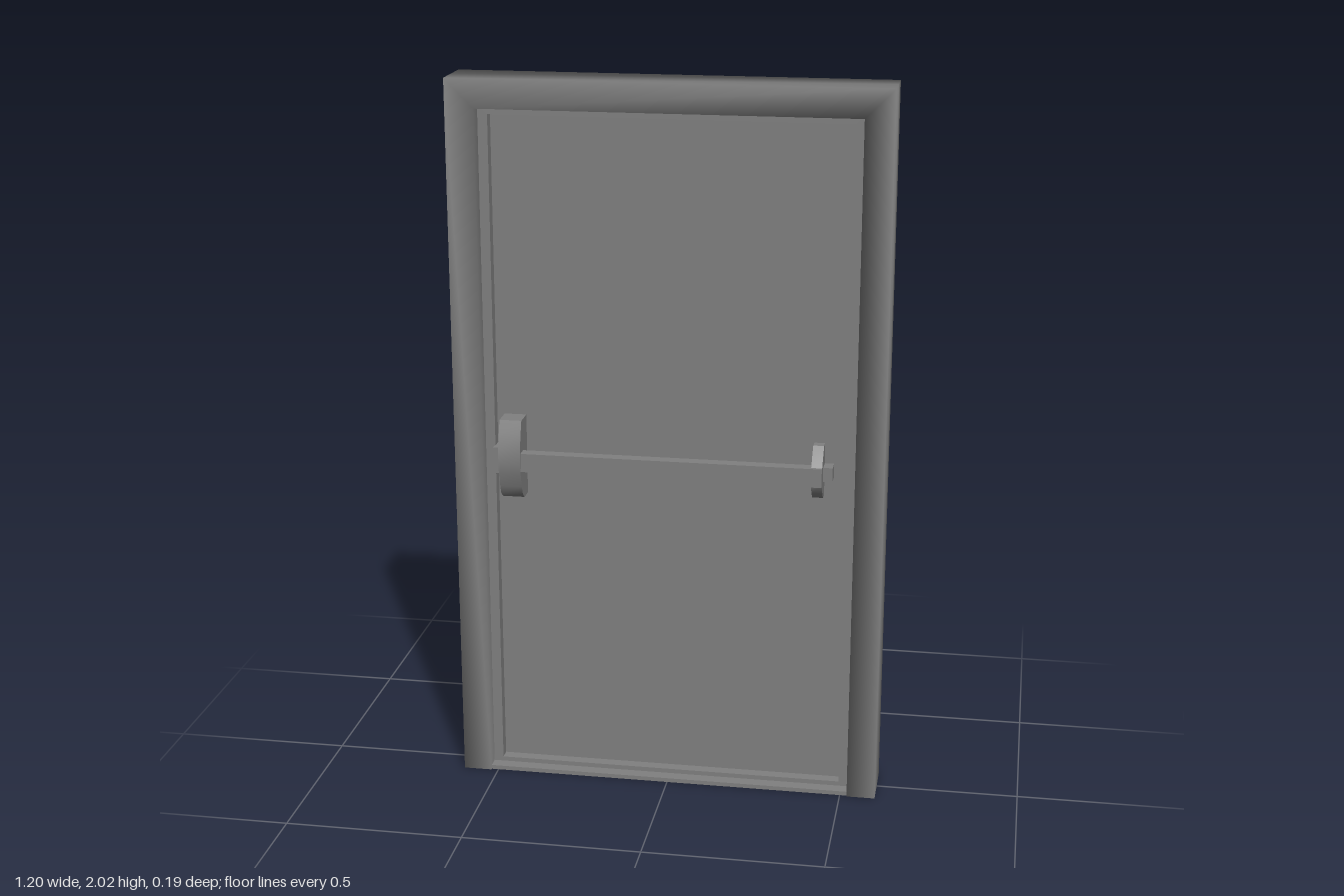
import * as THREE from 'three';
import { toCreasedNormals } from 'three/addons/utils/BufferGeometryUtils.js';

const steel = new THREE.MeshStandardMaterial({ color: 0x808080 });
steel.name = 'grey steel';

function add(parent, name, geometry) {
  const mesh = new THREE.Mesh(geometry, steel);
  mesh.name = name;
  parent.add(mesh);
  return mesh;
}

// Box given by its limits on each axis
function box(parent, name, x0, x1, y0, y1, z0, z1) {
  const mesh = add(parent, name, new THREE.BoxGeometry(x1 - x0, y1 - y0, z1 - z0));
  mesh.position.set((x0 + x1) / 2, (y0 + y1) / 2, (z0 + z1) / 2);
  return mesh;
}

// Sweeps a profile of [outward offset, z] up one jamb, over the head and down the other, with mitred corners
function archSweep(profile, halfWidth, top, bottom) {
  const n = profile.length, positions = [], index = [];
  for (const [side, high] of [[-1, 0], [-1, 1], [1, 1], [1, 0]]) {
    for (const [o, z] of profile) positions.push(side * (halfWidth + o), high ? top + o : bottom, z);
  }
  for (let i = 0; i < 3; i++) {
    for (let j = 0; j < n; j++) {
      const a = i * n + j, b = i * n + (j + 1) % n;
      index.push(a, a + n, b + n, a, b + n, b);
    }
  }
  for (let j = 1; j < n - 1; j++) {
    index.push(0, j, j + 1, 3 * n, 3 * n + j + 1, 3 * n + j);
  }
  const geometry = new THREE.BufferGeometry();
  geometry.setAttribute('position', new THREE.Float32BufferAttribute(positions, 3));
  geometry.setIndex(index);
  geometry.computeVertexNormals();
  return geometry;
}

// Extrudes a [depth, y] outline between two x values, on the front (side 1) or back (side -1)
function bracket(parent, name, outline, x0, x1, side) {
  const shape = new THREE.Shape(outline.map(([d, y]) => new THREE.Vector2(d, y)));
  const geometry = new THREE.ExtrudeGeometry(shape, { depth: x1 - x0, bevelEnabled: false });
  geometry.rotateY(-side * Math.PI / 2);
  geometry.translate(side > 0 ? x1 : x0, 0, 0);
  return add(parent, name, toCreasedNormals(geometry, 0.6));
}

const latchOutline = [
  [0.005, 0.84], [0.05, 0.84], [0.07, 0.855], [0.08, 0.88], [0.092, 0.92],
  [0.096, 0.95], [0.094, 0.99], [0.082, 1.035], [0.07, 1.07], [0.005, 1.07],
];
const pivotOutline = [
  [0.005, 0.88], [0.035, 0.88], [0.06, 0.9], [0.08, 0.93],
  [0.08, 0.98], [0.06, 1.005], [0.035, 1.03], [0.005, 1.03],
];

export function createModel() {
  const model = new THREE.Group();
  model.name = 'exitDoor';

  // Frame, softly shaded, with a rebated stop inside it
  add(model, 'frame', archSweep([[0.08, 0.08], [0.08, 0], [0.08, -0.08], [0, -0.08], [0, 0.08]], 0.52, 1.935, 0));
  add(model, 'doorStop', toCreasedNormals(
    archSweep([[0.03, 0.04], [0.03, -0.04], [0, -0.04], [0, 0.04]], 0.493, 1.915, 0.005), 0.5));
  box(model, 'threshold', -0.522, 0.522, 0, 0.012, -0.075, 0.075);
  box(model, 'bottomStop', -0.5, 0.5, 0.005, 0.025, -0.04, 0.04);

  // Door leaf
  box(model, 'doorPanel', -0.5, 0.5, 0.015, 1.925, -0.008, 0.008);

  // Push bar on the front
  const pushBar = new THREE.Group();
  pushBar.name = 'pushBar';
  model.add(pushBar);
  bracket(pushBar, 'latchCase', latchOutline, -0.472, -0.41, 1);
  box(pushBar, 'latchBolt', -0.495, -0.47, 0.91, 0.985, 0.005, 0.06);
  box(pushBar, 'bar', -0.415, 0.43, 0.927, 0.98, 0.055, 0.09);
  bracket(pushBar, 'pivotCase', pivotOutline, 0.4, 0.43, 1);
  box(pushBar, 'pivotBolt', 0.425, 0.456, 0.932, 0.972, 0.005, 0.05);

  // Handle on the back
  const handle = new THREE.Group();
  handle.name = 'backHandle';
  model.add(handle);
  bracket(handle, 'handleCase', latchOutline, -0.472, -0.41, -1);
  box(handle, 'handleBolt', -0.495, -0.47, 0.91, 0.985, -0.06, -0.005);
  box(handle, 'handleGrip', -0.415, -0.368, 0.92, 0.985, -0.09, -0.045);

  return model;
}
